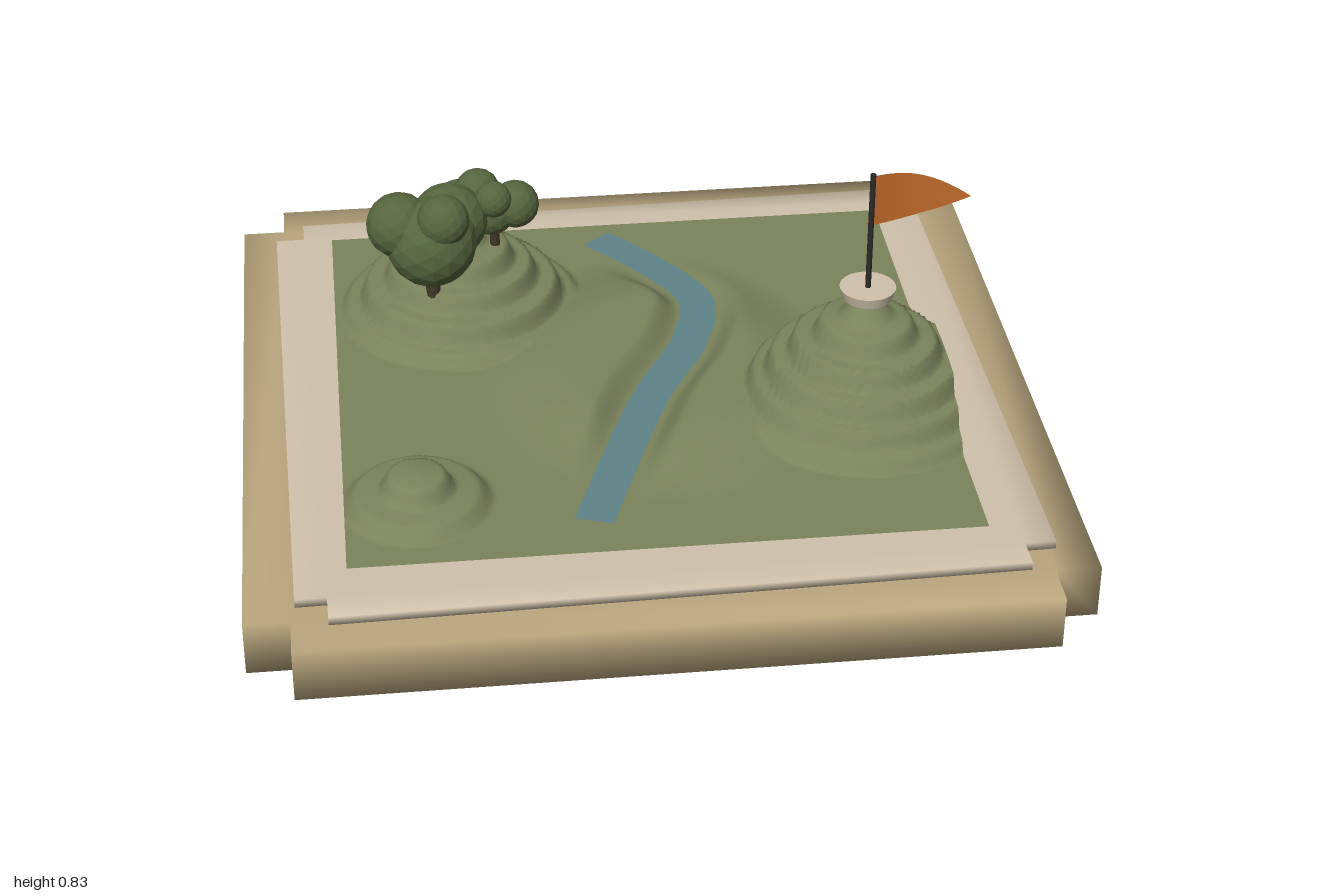
import * as THREE from 'three';
import { mergeVertices } from 'three/addons/utils/BufferGeometryUtils.js';

const material = (color, extra = {}) => {
  const m = new THREE.MeshStandardMaterial({ color });
  return Object.assign(m, extra);
};
const MAT = {
  base: material(0xb9a67e),
  plate: material(0xcfc2ac),
  grass: material(0x7b835c, { side: THREE.DoubleSide }),
  water: material(0x5f8488, { side: THREE.DoubleSide }),
  leaf: material(0x56663f, { flatShading: true }),
  bark: material(0x3f3a28),
  dark: material(0x2b2a27),
  flag: material(0xc06a2a, { side: THREE.DoubleSide }),
};

const GROUND = 0.18;

// Terraced hills: centre and profile as [radius, height]
const HILLS = [
  { x: 0.555, z: 0.185, profile: [[0, 0.487], [0.03, 0.48], [0.07, 0.43], [0.115, 0.42], [0.13, 0.375], [0.18, 0.37],
    [0.19, 0.325], [0.235, 0.318], [0.247, 0.27], [0.28, 0.265], [0.295, 0.22], [0.325, 0.21], [0.34, 0.18]] },
  { x: -0.42, z: -0.38, profile: [[0, 0.425], [0.04, 0.42], [0.07, 0.375], [0.125, 0.37], [0.14, 0.322], [0.185, 0.318],
    [0.2, 0.27], [0.25, 0.265], [0.265, 0.215], [0.3, 0.21], [0.32, 0.18]] },
  { x: -0.58, z: 0.51, profile: [[0, 0.272], [0.07, 0.262], [0.09, 0.22], [0.15, 0.213], [0.18, 0.18]] },
];

const riverCurve = new THREE.CatmullRomCurve3(
  [[-0.035, -0.665], [0.085, -0.52], [0.195, -0.32], [0.155, -0.12], [0.03, 0.12], [-0.08, 0.4], [-0.17, 0.65]]
    .map(([x, z]) => new THREE.Vector3(x, 0, z)));
const riverPoints = riverCurve.getSpacedPoints(60);

function profileHeight(profile, r) {
  for (let i = 1; i < profile.length; i++) {
    const [r0, y0] = profile[i - 1], [r1, y1] = profile[i];
    if (r <= r1) return y0 + (y1 - y0) * (r - r0) / (r1 - r0);
  }
  return GROUND;
}

// Low plateau with the river channel cut through it, topped by the hills
function terrainHeight(x, z) {
  let d = Infinity;
  for (const p of riverPoints) d = Math.min(d, Math.hypot(p.x - x, p.z - z));
  const channel = THREE.MathUtils.smoothstep(d, 0.05, 0.12);
  const edge = Math.hypot((x - 0.06) / 0.46, z / 0.58);
  const plateau = 0.047 * (1 - THREE.MathUtils.smoothstep(edge, 0.5, 1));
  let y = GROUND + plateau * channel;
  for (const h of HILLS) y = Math.max(y, profileHeight(h.profile, Math.hypot(x - h.x, z - h.z)));
  return y;
}

// Square slab with a square notch in every corner, softly shaded
function notchedSlab(half, notch, height) {
  const a = half - notch;
  const shape = new THREE.Shape([[-a, -half], [a, -half], [a, -a], [half, -a], [half, a], [a, a],
    [a, half], [-a, half], [-a, a], [-half, a], [-half, -a], [-a, -a]].map(p => new THREE.Vector2(...p)));
  const g = new THREE.ExtrudeGeometry(shape, { depth: height, bevelEnabled: false });
  g.deleteAttribute('normal');
  g.deleteAttribute('uv');
  const merged = mergeVertices(g.rotateX(-Math.PI / 2));
  merged.computeVertexNormals();
  return merged;
}

function terrainGeometry() {
  const g = new THREE.PlaneGeometry(1.514, 1.514, 160, 160).rotateX(-Math.PI / 2);
  const p = g.attributes.position;
  for (let i = 0; i < p.count; i++) p.setY(i, terrainHeight(p.getX(i), p.getZ(i)));
  g.computeVertexNormals();
  return g;
}

function riverGeometry(width, y) {
  const pos = [], index = [], n = riverPoints.length;
  riverPoints.forEach((p, i) => {
    const t = riverCurve.getTangentAt(i / (n - 1));
    for (const s of [-0.5, 0.5]) pos.push(p.x - t.z * s * width, y, p.z + t.x * s * width);
    if (i < n - 1) {
      const k = i * 2;
      index.push(k, k + 2, k + 1, k + 1, k + 2, k + 3);
    }
  });
  const g = new THREE.BufferGeometry();
  g.setAttribute('position', new THREE.Float32BufferAttribute(pos, 3));
  g.setIndex(index.map((_, i) => index[i - i % 3 + 2 - i % 3]));
  g.computeVertexNormals();
  return g;
}

// Pennant that narrows to a point and waves slightly
function flagGeometry() {
  const g = new THREE.PlaneGeometry(1, 1, 16, 6);
  const p = g.attributes.position;
  for (let i = 0; i < p.count; i++) {
    const u = p.getX(i) + 0.5;
    p.setXYZ(i, u * 0.238, p.getY(i) * 0.136 * (1 - u ** 2.2) - 0.002 * u, -0.022 * Math.sin(u * Math.PI));
  }
  g.computeVertexNormals();
  return g;
}

export function createModel() {
  const model = new THREE.Group();
  const add = (name, geometry, mat, x = 0, y = 0, z = 0, parent = model) => {
    const mesh = new THREE.Mesh(geometry, mat);
    mesh.name = name;
    mesh.position.set(x, y, z);
    parent.add(mesh);
    return mesh;
  };

  // Board
  add('base', notchedSlab(1, 0.11, 0.137), MAT.base);
  add('upperPlate', notchedSlab(0.895, 0.075, 0.022), MAT.plate, 0, 0.137, 0).rotation.y = 0.018;

  // Landscape
  add('terrain', terrainGeometry(), MAT.grass);
  add('river', riverGeometry(0.096, 0.192), MAT.water);

  // Trees: trunk plus leaf clusters as [x, y, z, radius]
  const trees = [
    { name: 'largeTree', trunk: [-0.5, 0.26, -0.23, 0.15, 0.02], leaves: [[-0.5, 0.47, -0.225, 0.118],
      [-0.58, 0.515, -0.24, 0.085], [-0.45, 0.485, -0.3, 0.1], [-0.47, 0.555, -0.18, 0.068]] },
    { name: 'mediumTree', trunk: [-0.33, 0.31, -0.36, 0.15, 0.014], leaves: [[-0.34, 0.48, -0.36, 0.07],
      [-0.275, 0.49, -0.36, 0.063], [-0.335, 0.535, -0.31, 0.048], [-0.37, 0.515, -0.395, 0.06]] },
    { name: 'smallTree', trunk: [-0.43, 0.35, -0.43, 0.1, 0.011], leaves: [[-0.42, 0.46, -0.46, 0.05],
      [-0.465, 0.47, -0.43, 0.04], [-0.41, 0.475, -0.42, 0.045]] },
  ];
  for (const t of trees) {
    const tree = new THREE.Group();
    tree.name = t.name;
    model.add(tree);
    const [x, y, z, h, r] = t.trunk;
    add('trunk', new THREE.CylinderGeometry(r * 0.8, r, h, 8), MAT.bark, x, y + h / 2, z, tree);
    for (const [lx, ly, lz, lr] of t.leaves)
      add('foliage', new THREE.IcosahedronGeometry(lr, 2), MAT.leaf, lx, ly, lz, tree);
  }

  // Flag on the tallest hill
  add('flagStand', new THREE.CylinderGeometry(0.07, 0.062, 0.028, 24), MAT.plate, 0.555, 0.5, 0.188);
  add('flagPole', new THREE.CylinderGeometry(0.007, 0.007, 0.33, 10), MAT.dark, 0.555, 0.665, 0.19);
  add('flag', flagGeometry(), MAT.flag, 0.56, 0.758, 0.192);
  add('bead', new THREE.SphereGeometry(0.015, 10, 8), MAT.dark, 0.585, 0.7, 0.113);
  return model;
}
